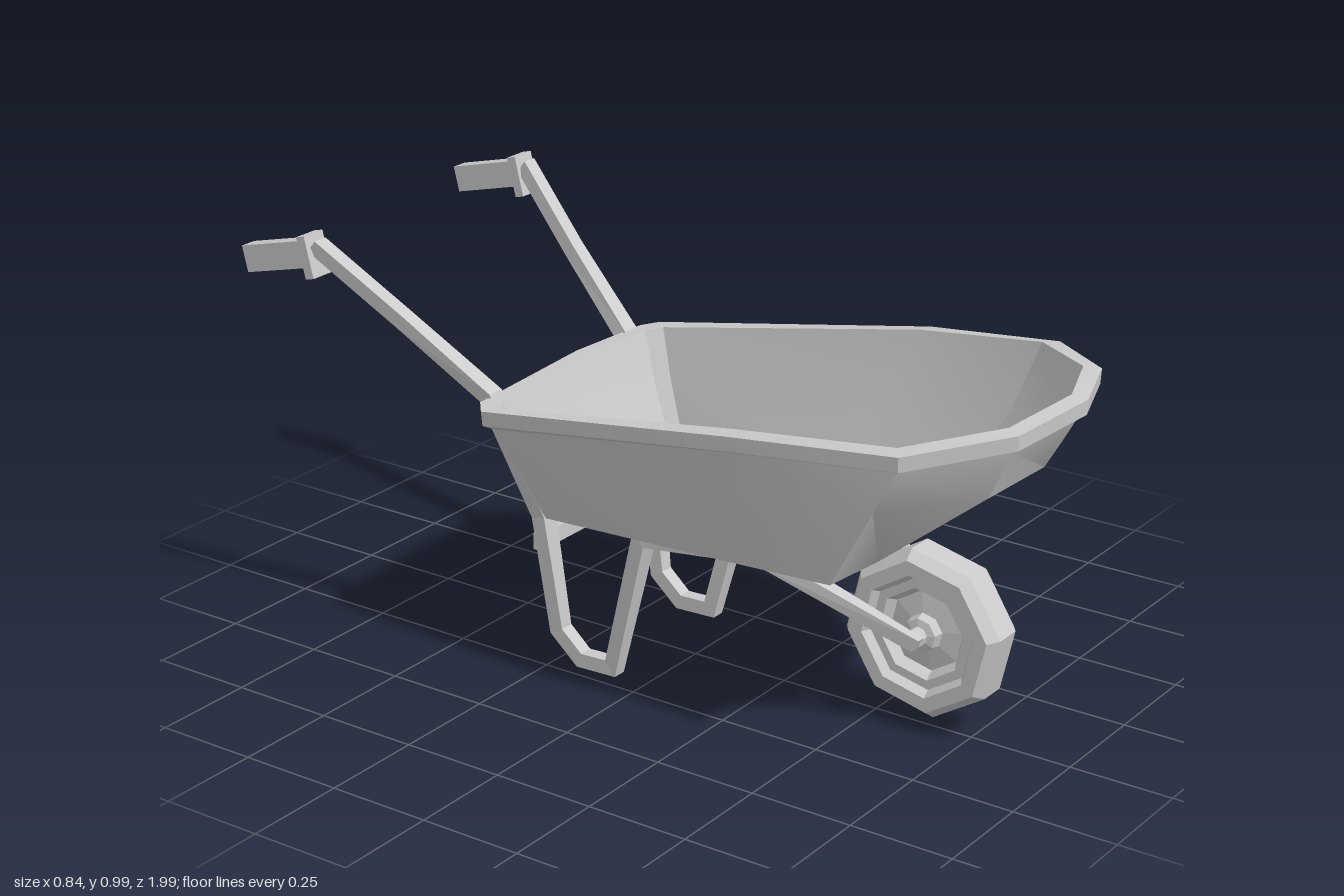
import * as THREE from 'three';
import { toCreasedNormals } from 'three/addons/utils/BufferGeometryUtils.js';

const material = new THREE.MeshStandardMaterial({ color: 0xcccccc });

// Skin a series of closed loops; both ends are closed to their centres.
function loft(loops, crease) {
  const centre = (loop) => {
    const c = [0, 1, 2].map((k) => loop.reduce((s, p) => s + p[k], 0) / loop.length);
    return loop.map(() => c);
  };
  const all = [centre(loops[0]), ...loops, centre(loops[loops.length - 1])];
  const pos = [];
  for (let i = 0; i < all.length - 1; i++) {
    const n = all[i].length;
    for (let j = 0; j < n; j++) {
      const a = all[i][j], b = all[i][(j + 1) % n];
      const d = all[i + 1][j], c = all[i + 1][(j + 1) % n];
      if (c !== d) pos.push(...a, ...d, ...c);
      if (a !== b) pos.push(...a, ...c, ...b);
    }
  }
  const g = new THREE.BufferGeometry();
  g.setAttribute('position', new THREE.Float32BufferAttribute(pos, 3));
  g.computeVertexNormals();
  return crease ? toCreasedNormals(g, crease) : g;
}

// Rectangular bar with mitred bends along points [x, y, z, width].
function bar(path, height) {
  const dir = (p, q) => new THREE.Vector2(q[1] - p[1], q[2] - p[2]).normalize();
  const loops = path.map((p, i) => {
    const d0 = i > 0 ? dir(path[i - 1], p) : dir(p, path[1]);
    const d1 = i < path.length - 1 ? dir(p, path[i + 1]) : d0;
    const t = d0.clone().add(d1).normalize();
    const h = height / 2 / Math.max(0.5, t.dot(d0));
    const ny = -t.y * h, nz = t.x * h, w = p[3] / 2;
    return [[1, -1], [1, 1], [-1, 1], [-1, -1]].map(
      ([sx, sn]) => [p[0] + sx * w, p[1] + sn * ny, p[2] + sn * nz]);
  });
  return loft(loops);
}

function add(parent, name, geometry) {
  const m = new THREE.Mesh(geometry, material);
  m.name = name;
  parent.add(m);
  return m;
}

// Tub: slightly uneven, with a lip and a sloping front.
function tubGeometry() {
  const rim = [
    [-0.345, 0.65, -0.35], [-0.31, 0.655, -0.38], [0.07, 0.665, -0.392], [0.31, 0.66, -0.383],
    [0.345, 0.665, -0.35], [0.415, 0.78, 0.37], [0.35, 0.84, 0.74], [0.19, 0.865, 0.93],
    [0.02, 0.86, 0.99], [-0.19, 0.835, 0.945], [-0.36, 0.8, 0.76], [-0.385, 0.76, 0.34]];
  const base = [
    [-0.26, -0.235], [-0.24, -0.26], [0.04, -0.265], [0.255, -0.26],
    [0.275, -0.235], [0.275, 0.2], [0.26, 0.57], [0.13, 0.595],
    [-0.01, 0.6], [-0.17, 0.6], [-0.33, 0.58], [-0.3, 0.2],
  ].map(([x, z]) => [x, 0.385 + (z + 0.26) * 0.085, z]);
  const inset = (loop, d, dy) => loop.map(
    ([x, y, z]) => [x * (1 - d / 0.37), y + dy, 0.3 + (z - 0.3) * (1 - d / 0.68)]);
  const neck = inset(rim, 0.022, -0.045);
  const mid = base.map((p, i) => {
    const q = neck[i].map((v, k) => p[k] + (v - p[k]) * 0.65);
    if (i >= 7 && i <= 9) q[2] += 0.06;
    return q;
  });
  return loft([
    base, mid, neck, inset(rim, 0.002, -0.035), rim,
    inset(rim, 0.038, 0.004), inset(mid, 0.02, 0.01), inset(base, 0.018, 0.02),
  ], 0.45);
}

// Wheel: eight-sided tyre, dished rim and hub in one turned profile.
function wheelGeometry() {
  const half = [
    [0, 0.078], [0.022, 0.078], [0.022, 0.05], [0.04, 0.045], [0.045, 0.022], [0.095, 0.015],
    [0.11, 0.04], [0.132, 0.04], [0.145, 0.06], [0.18, 0.06], [0.2, 0.033]];
  const profile = [
    ...half.map(([r, a]) => new THREE.Vector2(r, -a)),
    ...half.slice().reverse().map(([r, a]) => new THREE.Vector2(r, a))];
  const g = new THREE.LatheGeometry(profile, 8, THREE.MathUtils.degToRad(-9.5)).toNonIndexed();
  g.computeVertexNormals();
  return g.rotateZ(-Math.PI / 2);
}

export function createModel() {
  const model = new THREE.Group();
  model.name = 'wheelbarrow';

  add(model, 'tub', tubGeometry());
  add(model, 'wheel', wheelGeometry()).position.set(0.005, 0.243, 0.633);

  // Frame on each side: fork, tub support, leg loop and handle in one bar
  for (const [side, s] of [['left', 1], ['right', -1]]) {
    const frame = new THREE.Group();
    frame.name = side + 'Frame';
    model.add(frame);
    const path = [
      [0.077, 0.237, 0.65, 0.02], [0.205, 0.42, 0.32, 0.045], [0.21, 0.385, 0.005, 0.05],
      [0.2, 0.03, -0.09, 0.035], [0.2, 0.027, -0.18, 0.035], [0.2, 0.085, -0.245, 0.036],
      [0.212, 0.37, -0.28, 0.045], [0.26, 0.655, -0.39, 0.045],
      [0.32, 0.815, -0.59, 0.038], [0.387, 0.975, -0.785, 0.038],
    ].map(([x, y, z, w]) => [x * s, y, z, w]);
    add(frame, side + 'Rail', bar(path, 0.036));
    const x = 0.387 * s;
    add(frame, side + 'Collar', bar([[x, 0.952, -0.782, 0.064], [x, 0.946, -0.806, 0.064]], 0.1));
    add(frame, side + 'Grip', bar([[x, 0.954, -0.8, 0.042], [x, 0.907, -0.99, 0.042]], 0.064));
  }

  // Brace behind the legs
  const brace = add(model, 'crossBrace', new THREE.BoxGeometry(0.45, 0.04, 0.022));
  brace.position.set(0.003, 0.3, -0.293);
  return model;
}
